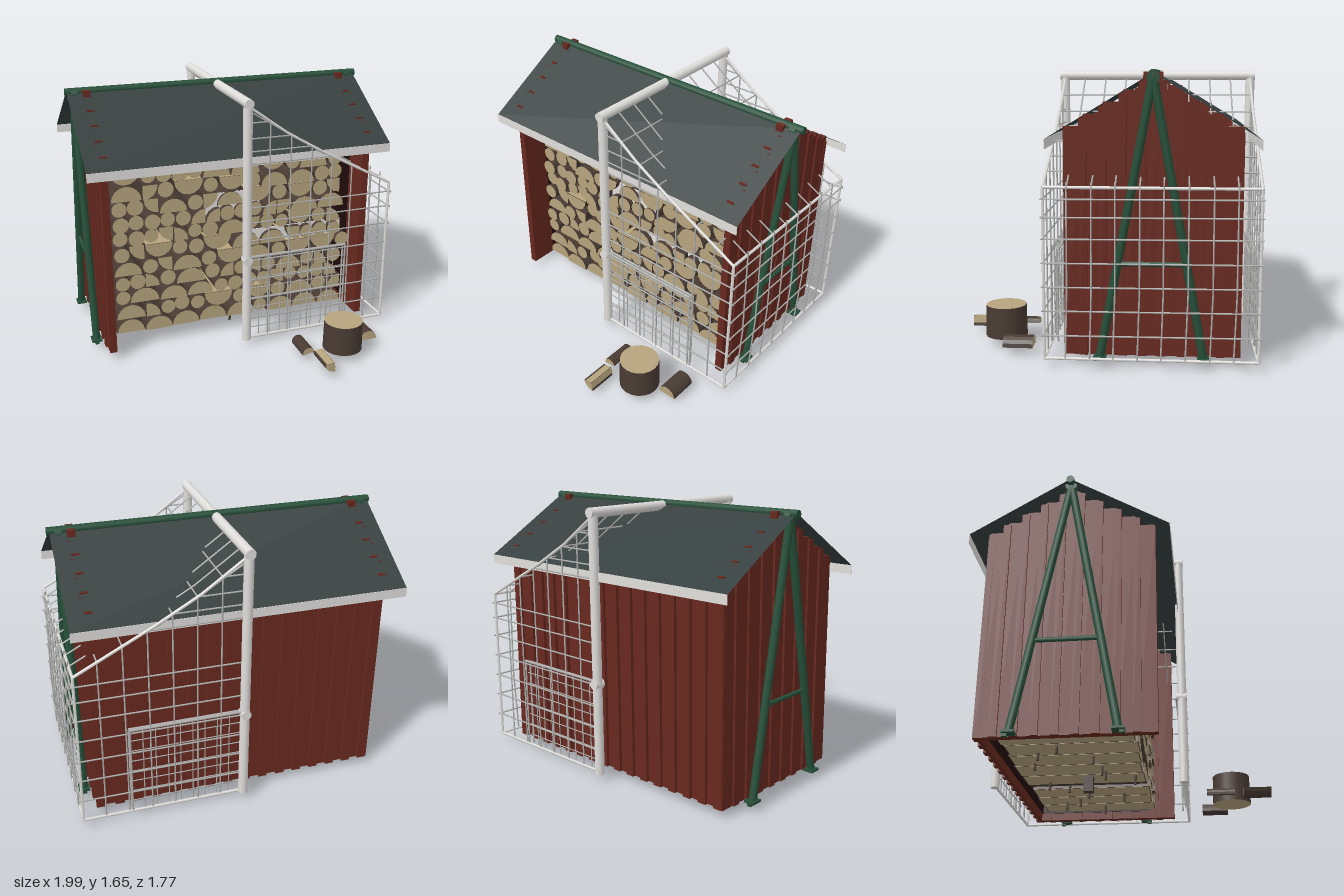
import * as THREE from 'three';

const mat = (name, color, extra = {}) => Object.assign(new THREE.MeshStandardMaterial({ color, ...extra }), { name });

export function createModel() {
  const model = new THREE.Group();
  model.name = 'woodshed';
  const red = mat('barn red', 0x68291f);
  const dark = mat('dark interior', 0x1f0b09);
  const roofing = mat('slate roofing', 0x363f3f, { side: THREE.DoubleSide });
  const green = mat('frame green', 0x264f39);
  const white = mat('off white', 0xe0dedb, { side: THREE.DoubleSide });
  const grey = mat('net grey', 0xb2b2b0);
  const beige = mat('cut wood', 0xb6a47d);
  const bark = mat('bark brown', 0x493b33);
  const blue = mat('blue sheet', 0x3f658f);
  const leaf = mat('green sheet', 0x2f6346);

  let seed = 11;
  const rand = () => (seed = (seed * 16807) % 2147483647) / 2147483647;

  const group = (name) => {
    const g = new THREE.Group();
    g.name = name;
    model.add(g);
    return g;
  };
  const box = (parent, name, m, w, h, d, x, y, z) => {
    const mesh = new THREE.Mesh(new THREE.BoxGeometry(w, h, d), m);
    mesh.name = name;
    mesh.position.set(x, y, z);
    parent.add(mesh);
    return mesh;
  };
  // Round bar between two points
  const bar = (parent, name, m, a, b, r, sides = 6) => {
    const p = new THREE.Vector3(...a), q = new THREE.Vector3(...b);
    const dir = q.clone().sub(p);
    const mesh = new THREE.Mesh(new THREE.CylinderGeometry(r, r, dir.length(), sides), m);
    mesh.name = name;
    mesh.position.copy(p).add(q).multiplyScalar(0.5);
    mesh.quaternion.setFromUnitVectors(new THREE.Vector3(0, 1, 0), dir.normalize());
    parent.add(mesh);
    return mesh;
  };

  const ridgeZ = -0.265, ridgeY = 1.635, halfDepth = 0.585, eaveY = 1.28;
  const slope = (ridgeY - eaveY) / halfDepth;
  const roofY = (z) => ridgeY - slope * Math.abs(z - ridgeZ);

  // Thin roof sheets and eave boards
  const roof = group('roof');
  for (const s of [1, -1]) {
    const sheet = new THREE.Mesh(new THREE.PlaneGeometry(1.95, Math.hypot(halfDepth, ridgeY - eaveY)), roofing);
    sheet.name = 'roofSheet';
    sheet.position.set(-0.015, (ridgeY + eaveY) / 2, ridgeZ + s * halfDepth / 2);
    sheet.rotation.x = -Math.PI / 2 + s * Math.atan(slope);
    roof.add(sheet);
    box(roof, 'eaveBoard', white, 1.95, 0.055, 0.004, -0.015, 1.253, ridgeZ + s * halfDepth);
  }

  // End walls: upright boards stepped under the slopes, cover boards over the joints
  const walls = group('walls');
  for (const x of [-0.872, 0.842]) {
    const out = Math.sign(x);
    for (let i = 0; i < 9; i++) {
      const z = 0.175 - i * 0.11;
      const top = roofY(z + Math.sign(z - ridgeZ) * 0.05) + 0.006;
      box(walls, 'endBoard', red, 0.045, top - 0.05, 0.109, x, (top + 0.05) / 2, z);
    }
    for (let i = 0; i < 8; i++) {
      const z = 0.12 - i * 0.11;
      const top = roofY(z + Math.sign(z - ridgeZ) * 0.025) + 0.005;
      box(walls, 'endCoverBoard', red, 0.016, top - 0.05, 0.045, x + out * 0.027, (top + 0.05) / 2, z);
    }
  }
  // Back wall with cover boards
  box(walls, 'backWall', red, 1.76, 1.26, 0.025, -0.015, 0.68, -0.732);
  for (let i = 0; i < 16; i++) {
    box(walls, 'backCoverBoard', red, 0.055, 1.26, 0.022, -0.86 + i * 0.1135, 0.68, -0.752);
  }
  // Dark lining behind the stack
  box(walls, 'backLining', dark, 1.67, 1.14, 0.006, -0.015, 0.67, -0.713);
  for (const x of [-0.845, 0.815]) box(walls, 'sideLining', dark, 0.006, 1.14, 0.76, x, 0.67, -0.33);

  // Stacked firewood: rounds, halves and quarters
  const stack = group('firewoodStack');
  const logLength = 0.76;
  const wedge = (angle) => {
    const s = new THREE.Shape();
    const n = Math.max(4, Math.round(16 * angle / (2 * Math.PI)));
    if (angle < 6) s.moveTo(0, 0);
    for (let i = 0; i <= n; i++) {
      const t = (i / n) * angle;
      if (i === 0 && angle >= 6) s.moveTo(1, 0);
      else if (!(i === n && angle >= 6)) s.lineTo(Math.cos(t), Math.sin(t));
    }
    s.closePath();
    return new THREE.ExtrudeGeometry(s, { depth: logLength, bevelEnabled: false });
  };
  const roundLog = wedge(Math.PI * 2), halfLog = wedge(Math.PI), quarterLog = wedge(Math.PI / 2);
  const addLog = (parent, name, geo, r, x, y, z, turn, len = logLength) => {
    const mesh = new THREE.Mesh(geo, [beige, bark]);
    mesh.name = name;
    mesh.scale.set(r, r, len / logLength);
    mesh.position.set(x, y, z - len);
    mesh.rotation.z = turn;
    parent.add(mesh);
  };
  for (let row = 0; row < 11; row++) {
    const y = 0.1 + row * 0.1;
    let x = -0.815;
    while (x < 0.73) {
      const pick = rand(), z = 0.075 + rand() * 0.03;
      if (pick < (row ? 0.36 : 0.7) && x < 0.62) {
        const r = 0.086 + rand() * 0.012, up = row === 0 || rand() < 0.6;
        const flatY = up ? y : y + 0.098;
        addLog(stack, 'halfLog', halfLog, r, x + r, flatY, z, up ? 0 : Math.PI);
        box(stack, 'splitFace', beige, 2 * r - 0.01, 0.004, logLength - 0.01, x + r, flatY, z - logLength / 2);
        x += 2 * r + 0.004;
      } else if (pick < 0.55) {
        const r = 0.09 + rand() * 0.008, turn = Math.floor(rand() * 4);
        addLog(stack, 'quarterLog', quarterLog, r, turn === 0 || turn === 3 ? x : x + r,
          turn < 2 ? y : y + 0.097, z, turn * Math.PI / 2);
        x += r + 0.004;
      } else {
        const r = 0.045 + rand() * 0.008;
        addLog(stack, 'roundLog', roundLog, r, x + r, y + 0.05, z, 0);
        x += 2 * r + 0.002;
      }
    }
  }
  // Coloured sheets on the lining, seen between the logs: x0, x1, y0, y1, z
  const sheets = [
    [blue, -0.81, -0.04, 0.6, 0.8, -0.706], [blue, -0.81, -0.16, 0.43, 0.6, -0.706],
    [blue, -0.04, 0.1, 0.7, 0.82, -0.706], [red, 0.1, 0.66, 0.7, 0.82, -0.706],
    [leaf, -0.42, 0.36, 0.17, 0.4, -0.706],
    [white, -0.2, 0.17, 0.82, 0.98, 0.06], [white, 0.1, 0.76, 0.6, 0.7, 0.06],
  ];
  for (const [m, x0, x1, y0, y1, z] of sheets) {
    box(stack, 'sheet', m, x1 - x0, y1 - y0, 0.006, (x0 + x1) / 2, (y0 + y1) / 2, z);
  }
  // Twigs poking out below the stack
  for (let i = 0; i < 14; i++) {
    const x = -0.6 + i * 0.095, z = 0.04 - rand() * 0.6;
    bar(stack, 'twig', bark, [x, 0.035 + rand() * 0.02, z], [x + 0.015, 0.13, z], 0.008);
  }
  box(stack, 'middleFoot', bark, 0.055, 0.1, 0.06, -0.015, 0.05, -0.262);

  // Green A-frames with ridge pole
  const frame = group('aFrame');
  bar(frame, 'ridgePole', green, [-1, 1.63, ridgeZ], [0.975, 1.63, ridgeZ], 0.024, 10);
  for (const x of [-0.945, 0.912]) {
    bar(frame, 'apexKnob', green, [x - 0.02, 1.612, ridgeZ], [x + 0.02, 1.612, ridgeZ], 0.036, 12);
    for (const s of [1, -1]) {
      bar(frame, 'frameLeg', green, [x, 1.62, ridgeZ], [x, 0.05, ridgeZ + s * 0.29], 0.024, 8);
      box(frame, 'footPlate', green, 0.065, 0.014, 0.07, x, 0.055, ridgeZ + s * 0.29);
      box(frame, 'footPeg', green, 0.025, 0.025, 0.03, x, 0.045, ridgeZ + s * 0.31);
    }
    bar(frame, 'crossTie', green, [x, 0.59, ridgeZ - 0.19], [x, 0.59, ridgeZ + 0.19], 0.014, 8);
  }

  // White goal straddling the shed
  const goal = group('goal');
  const gx = -0.015, zF = 0.33, zB = -0.855, endX = 0.965;
  bar(goal, 'crossbar', white, [gx, 1.617, 0.36], [gx, 1.617, -0.885], 0.03, 14);
  const drape = [[0, 1.59], [0.25, 1.41], [0.5, 1.265], [endX, 1.02]];
  const netY = (x) => {
    const i = x < 0.25 ? 0 : x < 0.5 ? 1 : 2;
    const [x0, y0] = drape[i], [x1, y1] = drape[i + 1];
    return y0 + (y1 - y0) * (x - x0) / (x1 - x0);
  };
  for (const z of [zF, zB]) {
    bar(goal, 'goalPost', white, [gx, 0.045, z], [gx, 1.617, z], 0.029, 14);
    bar(goal, 'bottomRail', white, [gx, 0.057, z], [endX, 0.057, z], 0.009);
    bar(goal, 'rearUpright', white, [endX, 0.05, z], [endX, 1.02, z], 0.009);
    for (let i = 0; i < 3; i++) bar(goal, 'slopeRail', white, [...drape[i], z], [...drape[i + 1], z], 0.009);
    bar(goal, 'slopeStay', grey, [0, 1.565, z], [0.5, 1.255, z], 0.005);
  }
  for (const y of [0.057, 1.02]) bar(goal, 'rearRail', white, [endX, y, zF], [endX, y, zB], 0.009);

  // Net strands on the sides, rear and top
  const net = group('net');
  const xs = [0.13, 0.27, 0.41, 0.55, 0.69, 0.83];
  const ys = [0.19, 0.33, 0.465, 0.6, 0.735, 0.855, 0.955];
  const zs = [0.2, 0.065, -0.065, -0.2, -0.33, -0.465, -0.6, -0.73];
  const strand = (a, b) => bar(net, 'strand', grey, a, b, 0.005, 5);
  for (const z of [zF, zB]) {
    for (const x of xs) strand([x, 0.05, z], [x, netY(x), z]);
    for (const y of ys) strand([0, y, z], [0.985, y + 0.004, z]);
    for (const x of [0.13, 0.27, 0.41, 0.55]) strand([0, netY(x), z], [x, netY(x), z]);
  }
  for (const y of ys) strand([0.975, y, zF + 0.015], [0.975, y + 0.006, zB - 0.015]);
  for (const z of zs) {
    strand([0.97, 1.05, z], [0.982, 0.45, z]);
    strand([0.982, 0.45, z], [0.972, 0.06, z + 0.012]);
    for (let i = 0; i < 3; i++) strand([...drape[i], z], [...drape[i + 1], z]);
  }
  for (const x of xs) strand([x, netY(x), zF], [x, netY(x), zB]);

  // Small folding gates beside both posts, set towards the shed
  for (const [z, inward] of [[zF, -1], [zB, 1]]) {
    const gate = group('smallGate');
    for (const d of [0, 0.035]) {
      const rz = z + inward * d, ry = 0.622 - d * 0.4;
      bar(gate, 'gateTopRail', grey, [gx, ry, rz], [0.67, ry, rz], 0.008);
      bar(gate, 'gateUpright', grey, [0.67, 0.055, rz], [0.67, ry, rz], 0.006);
    }
    bar(gate, 'gateClamp', white, [gx, 0.61, z - 0.032], [gx, 0.61, z + 0.032], 0.03, 10);
    for (let i = 1; i < 9; i++) {
      const wz = z + inward * 0.015;
      bar(gate, 'gateWire', grey, [i * 0.074, 0.055, wz], [i * 0.074, 0.615, wz], 0.0035, 5);
      if (i < 8) bar(gate, 'gateWire', grey, [gx, 0.05 + i * 0.07, wz], [0.67, 0.05 + i * 0.07, wz], 0.0035, 5);
    }
  }

  // Chopping block and split pieces in front
  const yard = group('choppingPlace');
  const block = new THREE.Mesh(new THREE.CylinderGeometry(0.122, 0.126, 0.19, 20), [bark, beige, beige]);
  block.name = 'choppingBlock';
  block.position.set(0.53, 0.146, 0.63);
  yard.add(block);
  addLog(yard, 'splitLog', halfLog, 0.04, 0.29, 0.05, 0.645, 0.2, 0.18);
  addLog(yard, 'splitLog', halfLog, 0.06, 0.73, 0.05, 0.605, 0, 0.175);
  addLog(yard, 'splitLog', quarterLog, 0.062, 0.353, 0.105, 0.88, -Math.PI * 0.95, 0.18);
  const topFace = box(yard, 'splitFace', beige, 0.045, 0.004, 0.178, 0.328, 0.101, 0.79);
  topFace.rotation.z = Math.PI * 0.05;
  const sideFace = box(yard, 'splitFace', beige, 0.004, 0.04, 0.178, 0.357, 0.084, 0.79);
  sideFace.rotation.z = Math.PI * 0.05;
  return model;
}
